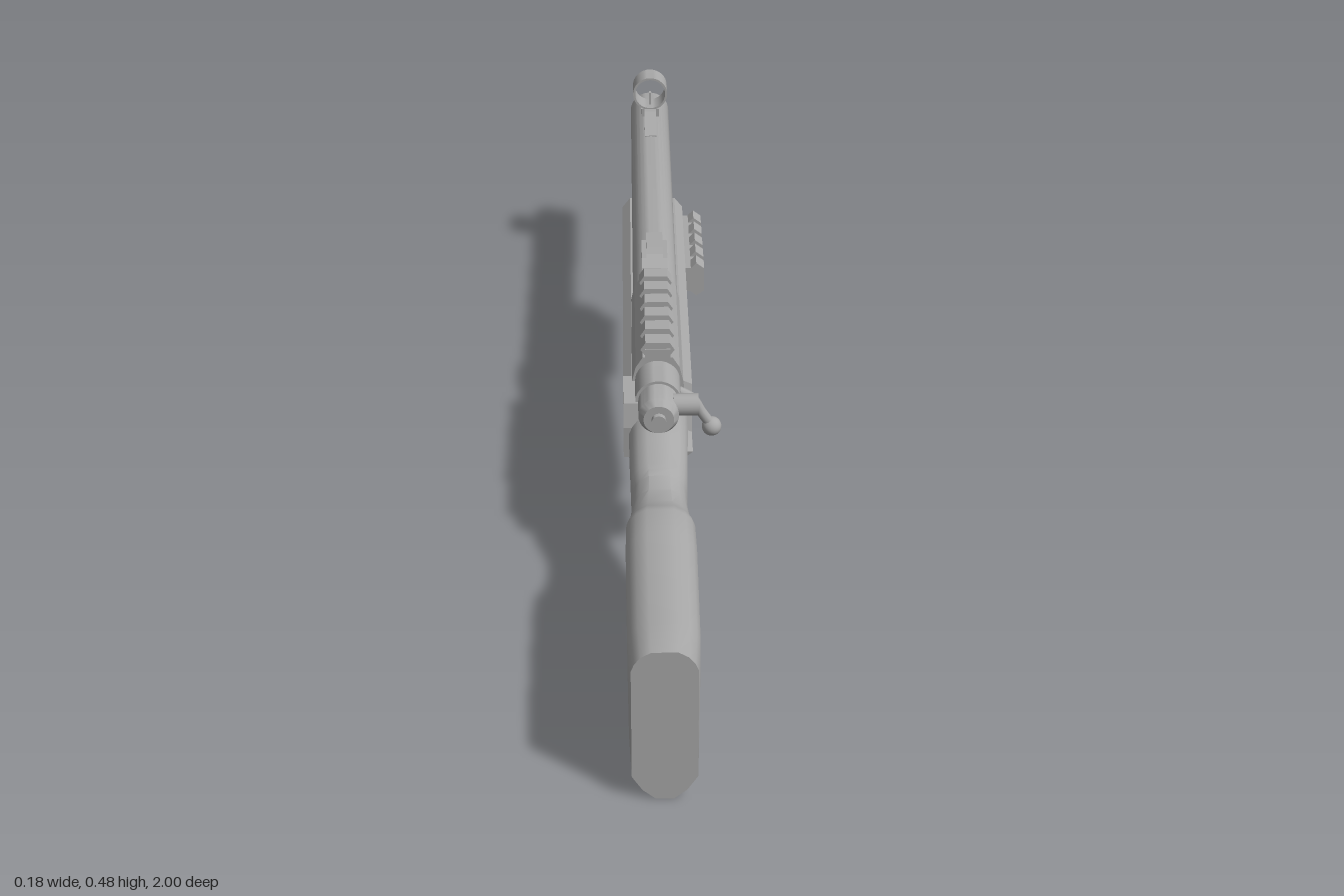
import * as THREE from 'three';
import { toCreasedNormals } from 'three/addons/utils/BufferGeometryUtils.js';

const CX = -0.028; // centre line of the rifle
const AXIS = 0.348; // bore height

export function createModel() {
  const group = new THREE.Group();
  const grey = new THREE.MeshStandardMaterial({ color: 0xa8a8a8 });
  grey.name = 'grey';

  const add = (name, geo, x = CX, y = 0, z = 0) => {
    const m = new THREE.Mesh(geo, grey);
    m.name = name;
    m.position.set(x, y, z);
    group.add(m);
    return m;
  };
  const shape = (pts) => new THREE.Shape(pts.map((p) => new THREE.Vector2(...p)));
  // side profile in (z, y), extruded across x with optional bevel
  const side = (pts, width, bevel = 0) => {
    const g = new THREE.ExtrudeGeometry(shape(pts), {
      depth: width - 2 * bevel, bevelEnabled: bevel > 0, bevelThickness: bevel,
      bevelSize: bevel, bevelOffset: -bevel, bevelSegments: 1,
    });
    g.translate(0, 0, -(width - 2 * bevel) / 2);
    return g.rotateY(-Math.PI / 2);
  };
  // front profile in (x, y), extruded along z between two depths
  const along = (pts, z0, z1) =>
    new THREE.ExtrudeGeometry(shape(pts), { depth: z1 - z0, bevelEnabled: false }).translate(0, 0, z0);
  // turned part along -z, profile as [radius, distance]
  const turned = (pts, seg = 32) =>
    toCreasedNormals(new THREE.LatheGeometry(pts.map((p) => new THREE.Vector2(...p)), seg).rotateX(-Math.PI / 2), 0.6);
  const ring = (ri, ro, h) => turned([[ro, -h], [ro, h], [ri, h], [ri, -h], [ro, -h]]);

  // loft of rounded sections: z, top, bottom, upper half width, lower half width
  const loft = (stations) => {
    const pos = [], idx = [];
    for (const [z, t, b, w, wl] of stations) {
      const c = Math.min(0.045, (t - b) * 0.25);
      const half = [
        [wl * 0.28, b], [wl * 0.68, b + c * 0.4], [wl, b + c], [w, Math.max(t - 0.11, b + c * 1.3)],
        [w, t - 0.036], [w * 0.9, t - 0.022], [w * 0.72, t - 0.01], [w * 0.4, t],
      ];
      const all = [...half, ...half.slice().reverse().map(([x, y]) => [-x, y])];
      for (const [x, y] of all) pos.push(x, y, z);
    }
    const n = 16, last = (stations.length - 1) * n;
    for (let i = 0; i < stations.length - 1; i++) {
      for (let j = 0; j < n; j++) {
        const a = i * n + j, b = i * n + ((j + 1) % n), c = a + n, d = b + n;
        idx.push(a, c, b, b, c, d);
      }
    }
    for (let j = 1; j < n - 1; j++) idx.push(0, j, j + 1, last, last + j + 1, last + j);
    const g = new THREE.BufferGeometry();
    g.setAttribute('position', new THREE.Float32BufferAttribute(pos, 3));
    g.setIndex(idx);
    return toCreasedNormals(g, 0.6);
  };

  // butt, pistol grip and wrist
  add('buttstock', loft([
    [1.0, 0.289, 0.0, 0.053, 0.053],
    [0.92, 0.289, 0.02, 0.058, 0.057],
    [0.667, 0.289, 0.104, 0.06, 0.058],
    [0.597, 0.289, 0.11, 0.059, 0.052],
    [0.583, 0.286, 0.085, 0.058, 0.034],
    [0.572, 0.281, 0.064, 0.056, 0.038],
    [0.543, 0.271, 0.056, 0.052, 0.044],
    [0.5, 0.267, 0.046, 0.048, 0.045],
    [0.463, 0.272, 0.037, 0.047, 0.04],
    [0.45, 0.277, 0.038, 0.048, 0.034],
    [0.441, 0.284, 0.095, 0.049, 0.036],
    [0.425, 0.293, 0.128, 0.05, 0.04],
    [0.4, 0.308, 0.163, 0.051, 0.046],
    [0.37, 0.32, 0.178, 0.052, 0.048],
    [0.33, 0.326, 0.186, 0.053, 0.05],
    [0.2, 0.33, 0.19, 0.053, 0.05],
  ]));

  // forestock, notched on the right side behind the receiver
  add('forestock', side([
    [0.26, 0.347], [0.26, 0.245], [0.34, 0.245], [0.33, 0.225], [0.29, 0.203], [0.15, 0.184],
    [-0.445, 0.252], [-0.49, 0.239], [-0.525, 0.247], [-0.538, 0.268], [-0.538, 0.31], [-0.52, 0.347],
  ], 0.126, 0.016));
  add('forestockLeftRear', side([[0.34, 0.347], [0.347, 0.3], [0.34, 0.235], [0.24, 0.22], [0.24, 0.347]], 0.03), -0.0755);

  // barrel with open muzzle
  add('barrel', turned([
    [0, 0], [0.043, 0], [0.043, 0.994], [0.039, 1], [0.026, 1], [0.026, 0.9], [0, 0.9],
  ]), CX, AXIS);

  // receiver body with sloping shoulders
  add('receiver', along([
    [-0.05, 0.31], [0.05, 0.31], [0.047, 0.345], [0.04, 0.375], [0.027, 0.396],
    [-0.027, 0.396], [-0.04, 0.375], [-0.047, 0.345],
  ], -0.06, 0.26));
  add('receiverBridge', turned([[0, -0.335], [0.041, -0.335], [0.041, -0.24], [0, -0.24]]), CX, AXIS);
  add('boltShroud', turned([
    [0, -0.41], [0.013, -0.41], [0.013, -0.4], [0.027, -0.4], [0.036, -0.385], [0.036, -0.3], [0, -0.3],
  ]), CX, AXIS);

  // bolt handle and safety knob
  const armPath = new THREE.CatmullRomCurve3([
    new THREE.Vector3(0.0, 0.345, 0.285), new THREE.Vector3(0.034, 0.325, 0.285),
    new THREE.Vector3(0.051, 0.295, 0.283), new THREE.Vector3(0.07, 0.265, 0.28),
  ]);
  add('boltHandleArm', new THREE.TubeGeometry(armPath, 12, 0.0095, 10), 0);
  add('boltHandleKnob', new THREE.SphereGeometry(0.018, 20, 14), 0.07, 0.263, 0.28);
  add('safetyKnob', new THREE.CylinderGeometry(0.02, 0.02, 0.045, 20).rotateZ(Math.PI / 2), 0.0205, 0.357, 0.362);

  // top rail
  add('topRailBase', new THREE.BoxGeometry(0.046, 0.018, 0.3), CX, 0.403, 0.11);
  for (let i = 0; i < 6; i++) {
    const z = 0.24 - i * 0.0525;
    add('topRailTooth', along([
      [-0.024, 0.4], [0.024, 0.4], [0.031, 0.41], [0.022, 0.424], [-0.022, 0.424], [-0.031, 0.41],
    ], z - 0.017, z + 0.017));
  }

  // side rail on the right of the forestock
  add('sideRailBase', new THREE.BoxGeometry(0.026, 0.052, 0.245), 0.045, 0.3, -0.355);
  for (let i = 0; i < 5; i++) {
    const z = -0.25 - i * 0.0525;
    add('sideRailTooth', along([
      [0.034, 0.275], [0.045, 0.275], [0.057, 0.264], [0.073, 0.275],
      [0.073, 0.325], [0.057, 0.337], [0.045, 0.325], [0.034, 0.325],
    ], z - 0.018, z + 0.018), 0);
  }

  // rear sight
  add('rearSightBase', side([[-0.09, 0.37], [-0.1, 0.394], [-0.125, 0.403], [-0.205, 0.403], [-0.225, 0.392], [-0.23, 0.37]], 0.05));
  add('rearSightLeaf', side([[-0.11, 0.4], [-0.13, 0.409], [-0.14, 0.42], [-0.205, 0.42], [-0.21, 0.4]], 0.032));

  // front sight ramp, post and hood
  add('frontSightRamp', side([[-0.745, 0.385], [-0.745, 0.392], [-0.84, 0.409], [-0.91, 0.409], [-0.945, 0.392], [-0.945, 0.385]], 0.026));
  add('frontSightBlock', new THREE.BoxGeometry(0.04, 0.018, 0.05), CX, 0.4, -0.88);
  add('frontSightPost', new THREE.BoxGeometry(0.004, 0.034, 0.012), CX, 0.422, -0.88);
  add('frontSightHood', ring(0.0335, 0.038, 0.026), CX, 0.445, -0.88);

  // trigger and guard
  add('triggerGuard', ring(0.042, 0.055, 0.014).rotateY(Math.PI / 2), CX, 0.157, 0.262);
  const triggerPath = new THREE.CatmullRomCurve3([
    new THREE.Vector3(0, 0.2, 0.275), new THREE.Vector3(0, 0.165, 0.285), new THREE.Vector3(0, 0.13, 0.27),
  ]);
  add('trigger', new THREE.TubeGeometry(triggerPath, 10, 0.006, 8));

  return group;
}
